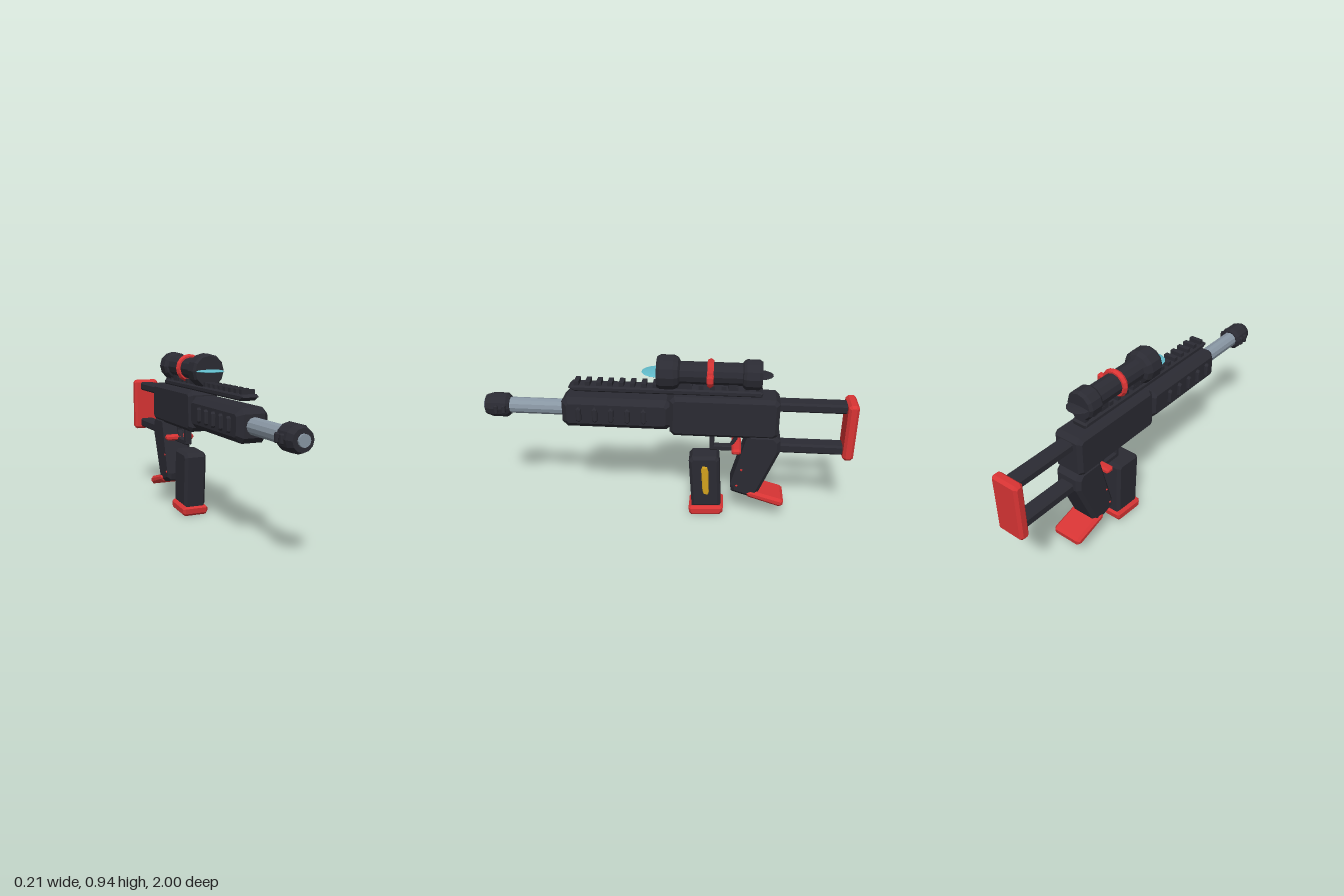
import * as THREE from 'three';

function mat(name, color) {
  const m = new THREE.MeshStandardMaterial({ color, flatShading: true });
  m.name = name;
  return m;
}

export function createModel() {
  const root = new THREE.Group();
  root.name = 'rifle';
  const dark = mat('charcoal', 0x2b2b33);
  const red = mat('red', 0xd83434);
  const steel = mat('steel', 0x8896a3);
  const teal = mat('lensTeal', 0x62bccb);
  const yellow = mat('yellow', 0xd2a21e);

  function add(name, geo, material, x = 0, y = 0, z = 0) {
    const mesh = new THREE.Mesh(geo, material);
    mesh.name = name;
    mesh.position.set(x, y, z);
    root.add(mesh);
    return mesh;
  }

  // Side outline of [z, y] points, extruded across x with chamfered edges
  function slab(name, outline, halfWidth, bevel, material, x = 0) {
    const shape = new THREE.Shape(outline.map(([z, y]) => new THREE.Vector2(z, y)));
    const depth = 2 * (halfWidth - bevel);
    const geo = new THREE.ExtrudeGeometry(shape, {
      depth, bevelEnabled: true, bevelThickness: bevel, bevelSize: bevel,
      bevelOffset: -bevel, bevelSegments: 1,
    });
    geo.translate(0, 0, -depth / 2);
    geo.rotateY(-Math.PI / 2);
    return add(name, geo, material, x);
  }

  // Rectangle with cut corners, as a side outline
  function cut(z0, z1, y0, y1, c) {
    return [[z0 + c, y0], [z1 - c, y0], [z1, y0 + c], [z1, y1 - c],
      [z1 - c, y1], [z0 + c, y1], [z0, y1 - c], [z0, y0 + c]];
  }

  // Turned part along z from [radius, z] points
  function turned(name, profile, y, material, sides = 12) {
    const geo = new THREE.LatheGeometry(profile.map(([r, z]) => new THREE.Vector2(r, z)), sides);
    geo.rotateX(Math.PI / 2);
    return add(name, geo, material, 0, y);
  }

  // Barrel and muzzle
  const axis = 0.62;
  turned('barrel', [[0, 0.5], [0.044, 0.5], [0.044, 0.9], [0, 0.9]], axis, steel);
  turned('muzzle', [[0, 0.855], [0.052, 0.855], [0.066, 0.872], [0.066, 0.95],
    [0.054, 0.988], [0, 0.988]], axis, dark);
  turned('bore', [[0, 0.96], [0.03, 0.96], [0.03, 1], [0, 1]], axis, steel);
  for (const side of [-1, 1]) {
    for (const z of [0.88, 0.922]) {
      slab('muzzleVent', cut(z - 0.01, z + 0.01, 0.597, 0.643, 0.005), 0.012, 0.004, dark, side * 0.064);
    }
  }

  // Handguard with side ribs
  slab('handguard', cut(-0.03, 0.562, 0.535, 0.706, 0.028), 0.085, 0.03, dark);
  for (const side of [-1, 1]) {
    for (let i = 0; i < 5; i++) {
      const z = 0.465 - i * 0.087;
      slab('handguardRib', cut(z - 0.014, z + 0.014, 0.58, 0.662, 0.01), 0.015, 0.006, dark, side * 0.088);
    }
  }

  // Receiver
  slab('receiver', cut(-0.597, -0.018, 0.508, 0.734, 0.024), 0.086, 0.02, dark);

  // Top rail with teeth
  slab('rail', [[-0.5, 0.733], [0.49, 0.733], [0.525, 0.752], [0.51, 0.765], [-0.49, 0.765], [-0.505, 0.755]],
    0.045, 0.008, dark);
  for (let i = 0; i < 17; i++) {
    add('railTooth', new THREE.BoxGeometry(0.072, 0.03, 0.026), dark, 0, 0.772, 0.48 - i * 0.06);
  }

  // Scope
  const sight = 0.845;
  turned('scopeBody', [[0, -0.497], [0.07, -0.497], [0.08, -0.48], [0.08, -0.415], [0.07, -0.4],
    [0.06, -0.395], [0.06, -0.07], [0.08, -0.06], [0.092, -0.035], [0.092, 0.035],
    [0.082, 0.052], [0, 0.052]], sight, dark);
  add('scopeRing', new THREE.TorusGeometry(0.06, 0.019, 6, 16), red, 0, sight, -0.228);
  slab('scopeKnob', cut(-0.246, -0.21, 0.823, 0.865, 0.007), 0.025, 0.005, red, 0.08);
  for (const z of [-0.1, -0.35]) {
    add('scopeMount', new THREE.BoxGeometry(0.07, 0.05, 0.05), dark, 0, 0.782, z);
  }
  const lens = new THREE.SphereGeometry(0.08, 14, 8);
  lens.scale(1, 0.11, 1.06);
  add('frontLens', lens, teal, 0, sight, 0.05);
  const rear = new THREE.SphereGeometry(0.065, 14, 8);
  rear.scale(1, 0.1, 1);
  add('rearLens', rear, dark, 0, sight, -0.49);

  // Stock
  slab('upperStockBar', cut(-0.96, -0.57, 0.655, 0.706, 0.01), 0.043, 0.01, dark);
  slab('lowerStockBar', cut(-0.96, -0.54, 0.412, 0.466, 0.01), 0.043, 0.01, dark);
  slab('buttPlate', cut(-1, -0.944, 0.397, 0.72, 0.014), 0.08, 0.014, red);

  // Grip with foot plate and studs
  slab('grip', [[-0.44, 0.53], [-0.355, 0.21], [-0.362, 0.17], [-0.45, 0.142], [-0.505, 0.155],
    [-0.615, 0.43], [-0.612, 0.495], [-0.58, 0.53]], 0.08, 0.02, dark);
  slab('gripFoot', [[-0.44, 0.172], [-0.455, 0.145], [-0.63, 0.09], [-0.65, 0.1], [-0.653, 0.125],
    [-0.638, 0.138], [-0.47, 0.185]], 0.088, 0.014, red);
  for (const side of [-1, 1]) {
    for (const [z, y] of [[-0.412, 0.316], [-0.39, 0.215]]) {
      add('gripStud', new THREE.IcosahedronGeometry(0.008, 0), red, side * 0.078, y, z);
    }
  }

  // Trigger group
  slab('guardPost', [[-0.23, 0.52], [-0.235, 0.42], [-0.258, 0.4], [-0.262, 0.52]], 0.02, 0.005, dark);
  slab('guardBar', cut(-0.43, -0.235, 0.398, 0.428, 0.007), 0.02, 0.005, dark);
  slab('trigger', [[-0.355, 0.52], [-0.365, 0.47], [-0.345, 0.432], [-0.362, 0.432], [-0.385, 0.47], [-0.385, 0.52]],
    0.014, 0.003, dark);
  slab('crossPin', cut(-0.405, -0.355, 0.408, 0.44, 0.009), 0.085, 0.01, red);

  // Magazine
  slab('magazine', [[-0.145, 0.05], [-0.124, 0.345], [-0.142, 0.37], [-0.275, 0.377], [-0.291, 0.355],
    [-0.307, 0.06]], 0.065, 0.016, dark);
  slab('magazineBase', [[-0.128, 0.045], [-0.132, 0.015], [-0.145, 0.002], [-0.305, 0.012], [-0.32, 0.03],
    [-0.322, 0.058], [-0.308, 0.066], [-0.14, 0.054]], 0.076, 0.012, red);
  slab('magazineStripe', [[-0.194, 0.3], [-0.2, 0.32], [-0.226, 0.318], [-0.234, 0.29], [-0.24, 0.16],
    [-0.234, 0.143], [-0.212, 0.147], [-0.204, 0.17]], 0.008, 0.004, yellow, 0.07);

  return root;
}
